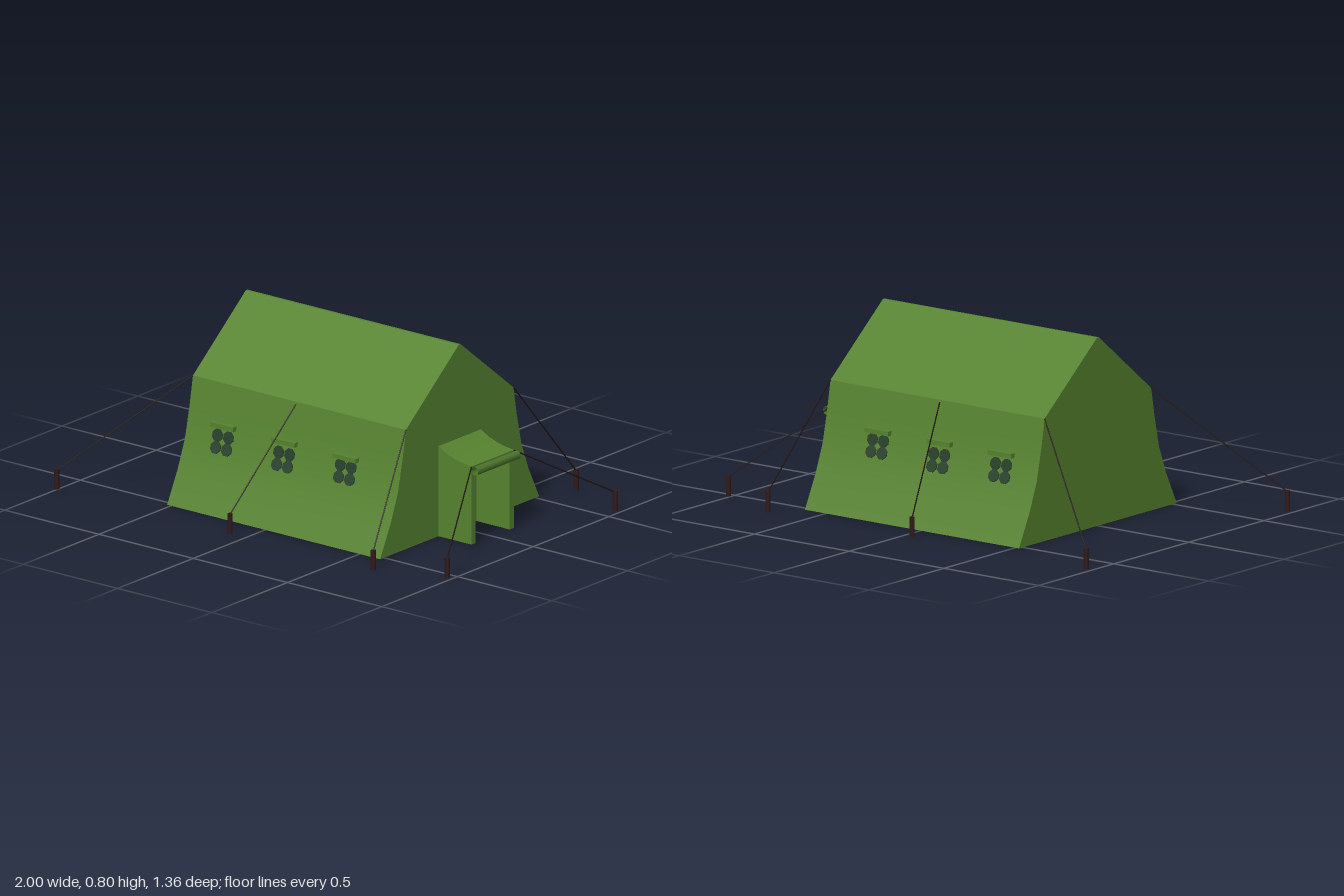
import * as THREE from 'three';
import { toCreasedNormals } from 'three/addons/utils/BufferGeometryUtils.js';

const material = (name, color) => Object.assign(new THREE.MeshStandardMaterial({ color }), { name });

// Half section of the canvas as [z, y], from the ground to the ridge
const SECTION = [[0.525, 0], [0.454, 0.142], [0.407, 0.262], [0.377, 0.397], [0.355, 0.52], [0.006, 0.8]];
const INNER = [[0.513, 0], [0.442, 0.142], [0.395, 0.262], [0.365, 0.397], [0.344, 0.514], [0.004, 0.787]];
const X0 = -0.52, X1 = 0.61;

const v2 = ([x, y]) => new THREE.Vector2(x, y);
const fullArch = (half) => [...half, ...half.map(([z, y]) => [-z, y]).reverse()];

// Depth and outward tilt of the side wall at height y
function wallAt(y) {
  const i = SECTION.findIndex((p) => p[1] > y);
  const [z0, y0] = SECTION[i - 1], [z1, y1] = SECTION[i];
  const slope = (z1 - z0) / (y1 - y0);
  return { z: z0 + slope * (y - y0), tilt: Math.atan(-slope) };
}

function extrude(points, depth) {
  const geo = new THREE.ExtrudeGeometry(new THREE.Shape(points.map(v2)), { depth, bevelEnabled: false });
  return toCreasedNormals(geo, 0.5);
}

export function createModel() {
  const model = new THREE.Group();
  model.name = 'tent';
  const canvas = material('canvasGreen', 0x56822f);
  const dark = material('windowDarkGreen', 0x263e29);
  const cord = material('ropeBlack', 0x1c0f0f);
  const wood = material('pegBrown', 0x341b1b);

  const add = (name, geo, mat, parent = model) => {
    const mesh = new THREE.Mesh(geo, mat);
    mesh.name = name;
    parent.add(mesh);
    return mesh;
  };

  // Hollow canvas shell, open underneath
  const shell = [...fullArch(SECTION), ...fullArch(INNER).reverse()];
  const cover = add('canvasShell', extrude(shell, X1 - X0).rotateY(Math.PI / 2), canvas);
  cover.position.x = X0;

  // End walls
  for (const [name, x] of [['rearEndWall', X0], ['doorEndWall', X1 - 0.01]]) {
    add(name, extrude(fullArch(INNER), 0.01).rotateY(Math.PI / 2), canvas).position.x = x;
  }

  // Windows: four round openings under a small flap, three on each side
  const discGeo = new THREE.CylinderGeometry(0.028, 0.028, 0.02, 8).rotateY(Math.PI / 8);
  const flapGeo = new THREE.BoxGeometry(0.124, 0.02, 0.028);
  for (const side of [1, -1]) {
    const wall = new THREE.Group();
    wall.name = side > 0 ? 'frontWindows' : 'backWindows';
    model.add(wall);
    for (const [x, lift] of [[-0.325, 0], [0, -0.005], [0.325, 0.008]]) {
      for (const dx of [-0.029, 0.029]) {
        for (const y of [0.253, 0.304]) {
          const { z, tilt } = wallAt(y + lift);
          const disc = add('windowOpening', discGeo, dark, wall);
          disc.position.set(x + dx, y + lift, side * (z - 0.006));
          disc.rotation.x = side * (Math.PI / 2 - tilt);
        }
      }
      const flap = add('windowFlap', flapGeo, canvas, wall);
      flap.position.set(x, 0.35, side * (wallAt(0.35).z + 0.008));
    }
  }

  // Porch: sagging roof slab on two thick side walls
  const roofTop = [[0.605, 0.396], [0.65, 0.371], [0.7, 0.354], [0.745, 0.345], [0.785, 0.34]];
  const roofUnder = roofTop.map(([x, y]) => [x, y - 0.035]);
  const porch = new THREE.Group();
  porch.name = 'porch';
  model.add(porch);
  add('porchRoof', extrude([...roofUnder, ...roofTop.slice().reverse()], 0.28), canvas, porch).position.z = -0.14;
  const wallShape = [[0.605, 0], [0.785, 0], ...roofUnder.slice().reverse()];
  for (const z of [-0.14, 0.112]) {
    add('porchWall', extrude(wallShape, 0.028), canvas, porch).position.z = z;
  }

  // Rolled door curtain, an open tube along the porch edge
  const rollMat = material('curtainGreen', 0x4d752a);
  rollMat.side = THREE.DoubleSide;
  const roll = add('rolledCurtain',
    new THREE.CylinderGeometry(0.018, 0.018, 0.28, 12, 1, true).rotateX(Math.PI / 2), rollMat, porch);
  roll.position.set(0.803, 0.323, 0);

  // Guy ropes and pegs, mirrored front and back: [anchor, peg x, peg z]
  const guys = [
    [[X0, 0.52, 0.355], -0.99, 0.67],
    [[0.03, 0.51, 0.36], -0.07, 0.67],
    [[X1, 0.52, 0.355], 0.69, 0.67],
    [[0.785, 0.338, 0.14], 0.99, 0.555],
  ];
  const pegGeo = new THREE.CylinderGeometry(0.011, 0.011, 0.088, 4).rotateY(Math.PI / 4);
  for (const side of [1, -1]) {
    for (const [[ax, ay, az], px, pz] of guys) {
      const from = new THREE.Vector3(ax, ay, az * side);
      const to = new THREE.Vector3(px, 0.09, pz * side);
      add('guyRope', new THREE.TubeGeometry(new THREE.LineCurve3(from, to), 1, 0.003, 5), cord);
      add('peg', pegGeo, wood).position.set(px, 0.052, pz * side);
    }
  }
  return model;
}
